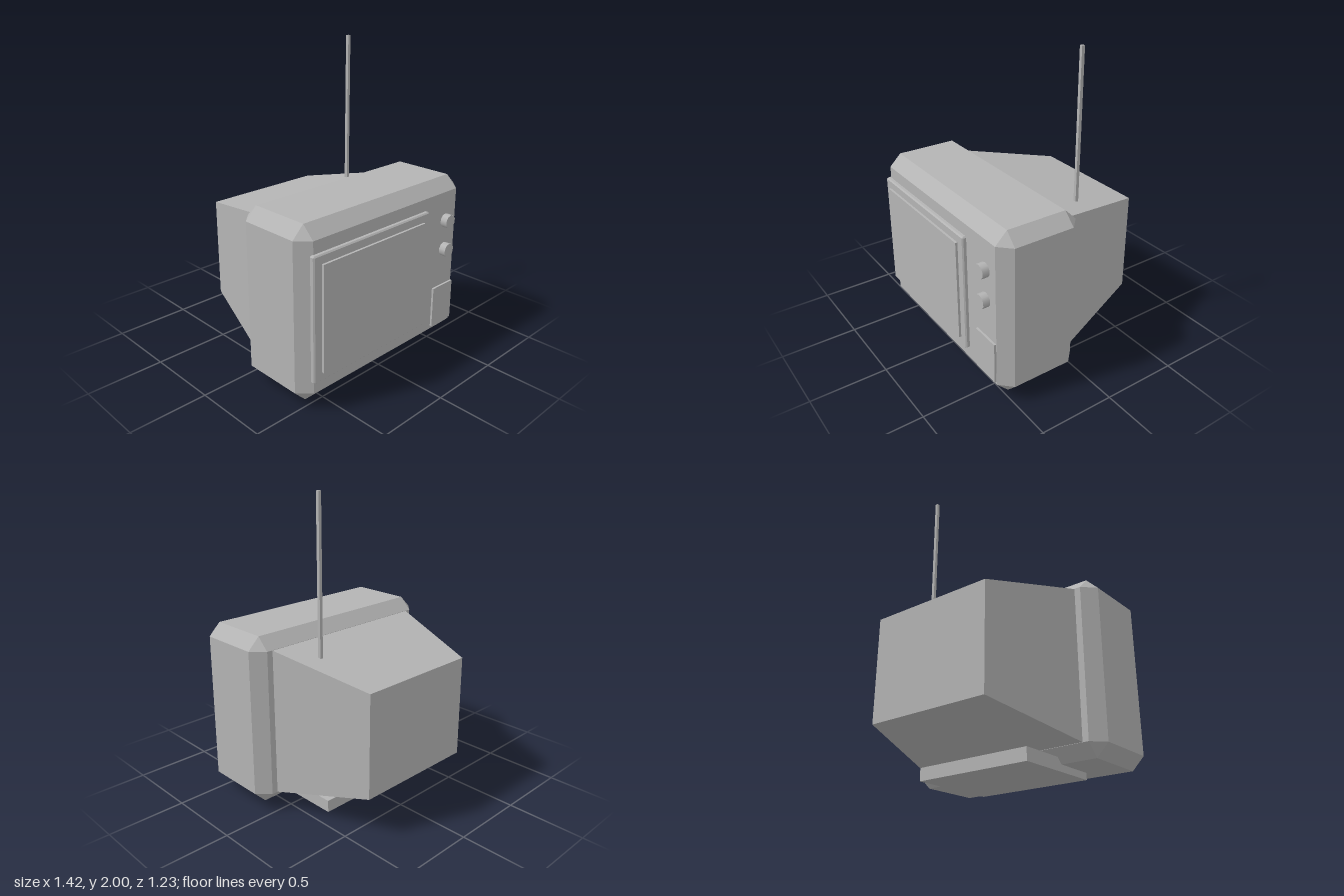
import * as THREE from 'three';
import { ConvexGeometry } from 'three/addons/geometries/ConvexGeometry.js';

export function createModel() {
  const group = new THREE.Group();
  const grey = new THREE.MeshStandardMaterial({ color: 0xb4b4b4 });

  const add = (name, geometry) => {
    const mesh = new THREE.Mesh(geometry, grey);
    mesh.name = name;
    group.add(mesh);
    return mesh;
  };

  // Box given by its limits on each axis
  const box = (name, [x0, x1], [y0, y1], [z0, z1]) =>
    add(name, new THREE.BoxGeometry(x1 - x0, y1 - y0, z1 - z0))
      .position.set((x0 + x1) / 2, (y0 + y1) / 2, (z0 + z1) / 2);

  // Box with all edges and corners cut off by c
  const chamferBox = (name, [x0, x1], [y0, y1], [z0, z1], c) => {
    const half = [(x1 - x0) / 2, (y1 - y0) / 2, (z1 - z0) / 2];
    const points = [];
    for (const sx of [-1, 1]) for (const sy of [-1, 1]) for (const sz of [-1, 1]) {
      for (let axis = 0; axis < 3; axis++) {
        const h = half.map((v, i) => (i === axis ? v : v - c));
        points.push(new THREE.Vector3(sx * h[0], sy * h[1], sz * h[2]));
      }
    }
    add(name, new ConvexGeometry(points))
      .position.set((x0 + x1) / 2, (y0 + y1) / 2, (z0 + z1) / 2);
  };

  // Main cabinet
  chamferBox('cabinet', [-0.712, 0.712], [0.043, 1.149], [0.015, 0.571], 0.078);

  // Tapered housing behind the cabinet
  const housing = [];
  for (const [hx, y0, y1, z] of [[0.595, 0.122, 1.07, 0.018], [0.418, 0.265, 0.931, -0.617]]) {
    for (const x of [-hx, hx]) for (const y of [y0, y1]) housing.push(new THREE.Vector3(x, y, z));
  }
  add('rearHousing', new ConvexGeometry(housing));

  // Screen with its raised frame
  chamferBox('screenFrame', [-0.655, 0.333], [0.2, 0.992], [0.56, 0.597], 0.008);
  box('screen', [-0.596, 0.276], [0.26, 0.935], [0.57, 0.612]);

  // Control panel: two knobs and a small door
  for (const [name, y] of [['upperKnob', 0.877], ['lowerKnob', 0.677]]) {
    const knob = add(name, new THREE.CylinderGeometry(0.046, 0.046, 0.06, 10));
    knob.rotation.x = Math.PI / 2;
    knob.position.set(0.532, y, 0.587);
  }
  box('controlDoor', [0.434, 0.632], [0.142, 0.418], [0.56, 0.585]);

  // Foot and aerial
  box('base', [-0.4, 0.393], [0, 0.08], [-0.238, 0.355]);
  box('antenna', [0.384, 0.404], [0.98, 2], [-0.195, -0.174]);

  return group;
}
